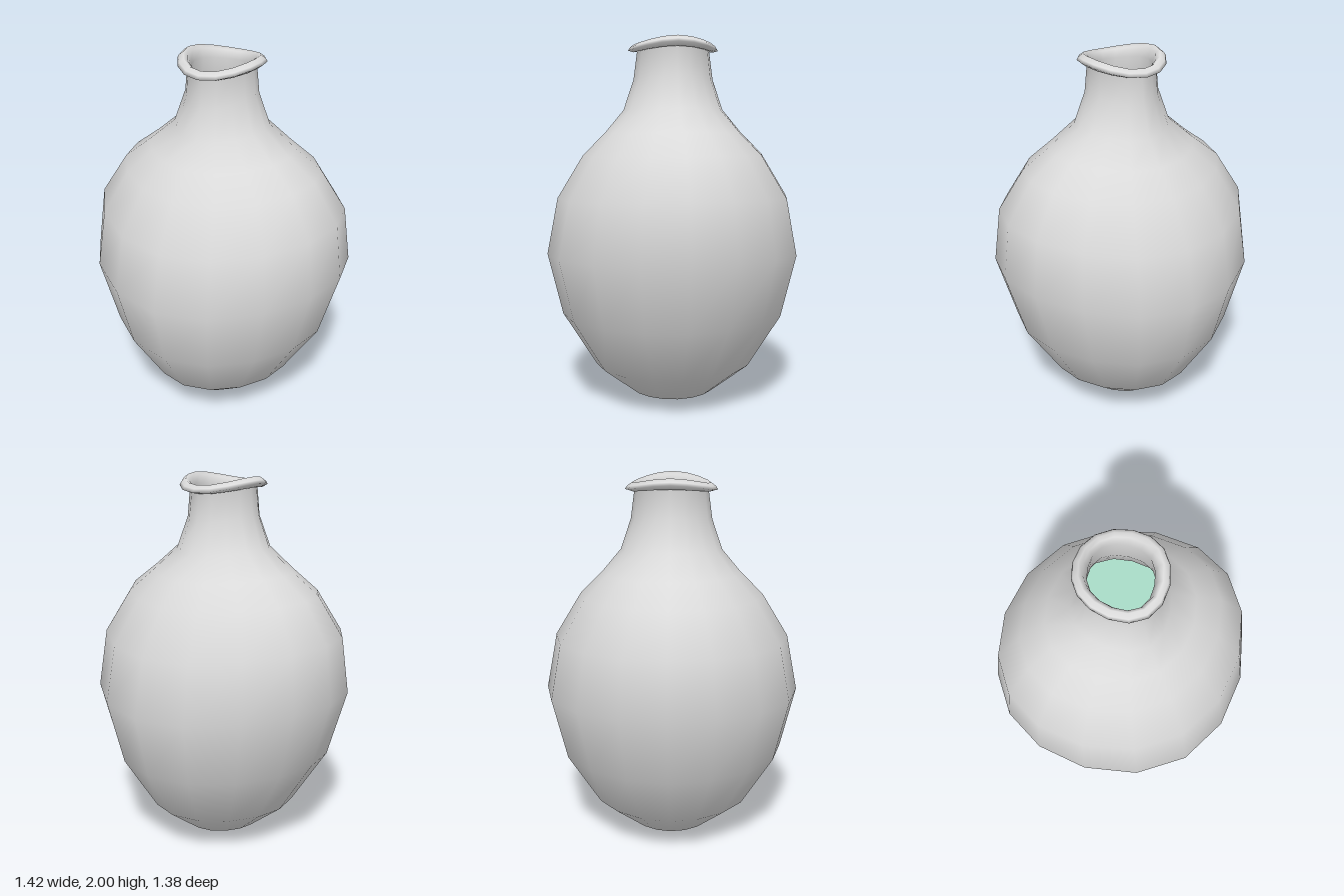
import * as THREE from 'three';
import { mergeVertices } from 'three/addons/utils/BufferGeometryUtils.js';

const SIDES = 16;

// Skin a list of rings: [radius in x, radius in z, height at the x ends, height at the z ends, pinch]
function ringSkin(rings) {
  const pos = [], index = [];
  rings.forEach(([rx, rz, yx, yz, pinch = 0]) => {
    for (let j = 0; j < SIDES; j++) {
      const a = (j / SIDES) * Math.PI * 2;
      const c = Math.cos(a), s = Math.sin(a);
      const squeeze = 1 - pinch * Math.sin(2 * a) ** 2;
      pos.push(rx * c * squeeze, yx * c * c + yz * s * s, -rz * s * (1 - 0.1 * c * c) * squeeze);
    }
  });
  for (let i = 0; i < rings.length - 1; i++) {
    for (let j = 0; j < SIDES; j++) {
      const k = (j + 1) % SIDES;
      const a = i * SIDES + j, b = i * SIDES + k, c = b + SIDES, d = a + SIDES;
      if (rings[i][0] > 0) index.push(a, b, c);
      else { index.push(a, c, d); continue; }
      if (rings[i + 1][0] > 0) index.push(a, c, d);
    }
  }
  let geo = new THREE.BufferGeometry();
  geo.setAttribute('position', new THREE.Float32BufferAttribute(pos, 3));
  geo.setIndex(index);
  geo = mergeVertices(geo, 1e-4);
  geo.computeVertexNormals();
  return geo;
}

export function createModel() {
  const group = new THREE.Group();
  group.name = 'vase';
  const clay = new THREE.MeshStandardMaterial({ name: 'pale grey', color: 0xdadada });
  const mint = new THREE.MeshStandardMaterial({ name: 'mint liquid', color: 0xa9dcc8 });

  // Outer wall, from the base up to the neck
  const outer = [
    [0, 0, 0, 0],
    [0.2, 0.22, 0.05, 0.05],
    [0.4, 0.43, 0.21, 0.21],
    [0.6, 0.61, 0.52, 0.5],
    [0.71, 0.69, 0.89, 0.835],
    [0.675, 0.63, 1.19, 1.14],
    [0.54, 0.49, 1.4, 1.37],
    [0.395, 0.37, 1.51, 1.49],
    [0.255, 0.27, 1.63, 1.61, 0.03],
    [0.195, 0.215, 1.8, 1.77, 0.05],
    [0.18, 0.195, 1.945, 1.92, 0.03],
  ];
  // Rolled saddle-shaped lip
  const lip = [
    [0.2, 0.215, 1.945, 1.917],
    [0.23, 0.243, 1.968, 1.925],
    [0.222, 0.232, 1.983, 1.943],
    [0.197, 0.208, 2.0, 1.96],
    [0.174, 0.19, 1.985, 1.95],
  ];
  // Inner wall, a thinner copy of the outer one running back down
  const inner = outer.slice(1).reverse().map(([rx, rz, yx, yz, p], i) => {
    const t = i < 3 ? 0.02 : 0.03;
    return [rx - t, rz - t, yx - 0.01, yz - 0.01, p];
  });
  inner.push([0, 0, 0.03, 0.03]);

  const body = new THREE.Mesh(ringSkin([...outer, ...lip, ...inner]), clay);
  body.name = 'vaseBody';
  group.add(body);

  // Flat liquid surface inside the belly
  const liquid = new THREE.Mesh(ringSkin([[0.67, 0.63, 1.0, 1.0], [0, 0, 1.0, 1.0]]), mint);
  liquid.name = 'liquid';
  group.add(liquid);

  return group;
}
